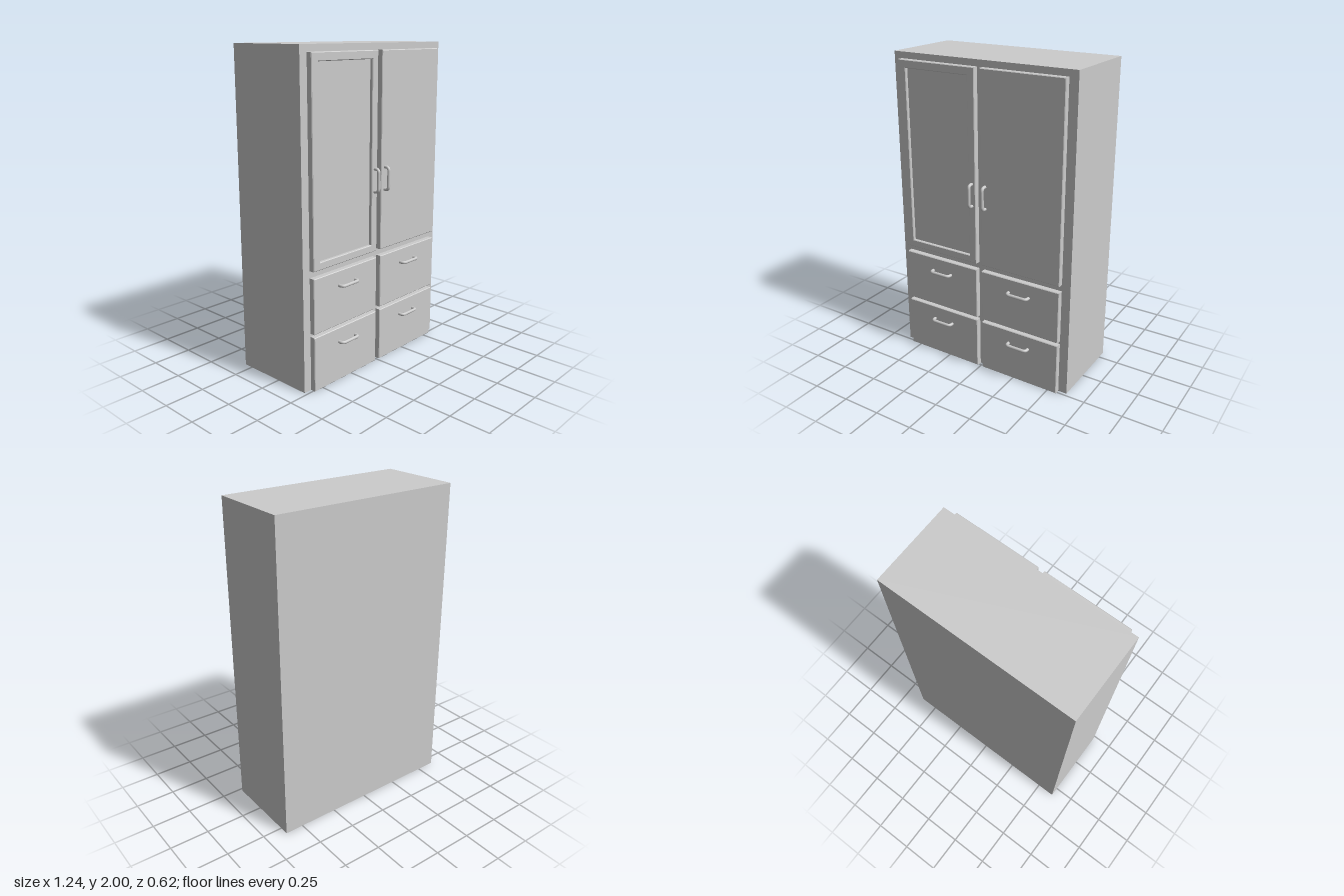
import * as THREE from 'three';

const material = new THREE.MeshStandardMaterial({ color: 0xcccccc });
const BODY_FRONT = 0.23, DOOR_FRONT = 0.265, BEVEL = 0.004;

function add(parent, name, geometry) {
  const mesh = new THREE.Mesh(geometry, material);
  mesh.name = name;
  parent.add(mesh);
  return mesh;
}

function rectangle(path, x0, x1, y0, y1) {
  path.moveTo(x0, y0);
  path.lineTo(x1, y0);
  path.lineTo(x1, y1);
  path.lineTo(x0, y1);
  path.closePath();
  return path;
}

// Slab with softened edges whose back is sunk into the body; optional opening
function panel(parent, name, [x0, x1, y0, y1], opening) {
  const b = BEVEL;
  const shape = rectangle(new THREE.Shape(), x0 + b, x1 - b, y0 + b, y1 - b);
  if (opening) {
    const [a0, a1, c0, c1] = opening;
    shape.holes.push(rectangle(new THREE.Path(), a0 - b, a1 + b, c0 - b, c1 + b));
  }
  const back = BODY_FRONT - 0.01;
  const geometry = new THREE.ExtrudeGeometry(shape, {
    depth: DOOR_FRONT - back - 2 * b,
    bevelThickness: b, bevelSize: b, bevelSegments: 1,
  });
  geometry.translate(0, 0, back + b);
  return add(parent, name, geometry);
}

// Bow handle: a rounded U of round bar, running along x
function handleGeometry() {
  const half = 0.07, corner = 0.022, start = DOOR_FRONT - 0.01, out = 0.297;
  const v = (x, z) => new THREE.Vector3(x, 0, z);
  const path = new THREE.CurvePath();
  path.add(new THREE.LineCurve3(v(-half, start), v(-half, out - corner)));
  path.add(new THREE.QuadraticBezierCurve3(v(-half, out - corner), v(-half, out), v(-half + corner, out)));
  path.add(new THREE.LineCurve3(v(-half + corner, out), v(half - corner, out)));
  path.add(new THREE.QuadraticBezierCurve3(v(half - corner, out), v(half, out), v(half, out - corner)));
  path.add(new THREE.LineCurve3(v(half, out - corner), v(half, start)));
  return new THREE.TubeGeometry(path, 40, 0.01, 10, false);
}

export function createModel() {
  const group = new THREE.Group();
  group.name = 'wardrobe';

  // Carcass
  const body = add(group, 'body', new THREE.BoxGeometry(1.24, 2, 0.54));
  body.position.set(0, 1, BODY_FRONT - 0.27);

  // Doors: a framed one with a recessed panel, and a plain one
  const columns = [
    { side: 'right', x0: -0.567, x1: -0.02, handleX: -0.045, pullX: -0.29 },
    { side: 'left', x0: 0.017, x1: 0.563, handleX: 0.05, pullX: 0.288 },
  ];
  const opening = [-0.515, -0.07, 0.79, 1.91];
  const inset = add(group, 'recessedDoorPanel', new THREE.BoxGeometry(0.46, 1.135, 0.02));
  inset.position.set(-0.2925, 1.35, 0.235);

  const handle = handleGeometry();
  for (const { side, x0, x1, handleX, pullX } of columns) {
    panel(group, side + 'Door', [x0, x1, 0.743, 1.96], side === 'right' ? opening : null);
    const doorHandle = add(group, side + 'DoorHandle', handle);
    doorHandle.rotation.z = Math.PI / 2;
    doorHandle.position.set(handleX, 1.193, 0);

    // Two drawers below each door
    for (const [level, y0, y1, pullY] of [['Upper', 0.36, 0.7, 0.61], ['Lower', 0, 0.34, 0.25]]) {
      panel(group, side + level + 'Drawer', [x0, x1, y0, y1]);
      add(group, side + level + 'DrawerHandle', handle).position.set(pullX, pullY, 0);
    }
  }
  return group;
}
